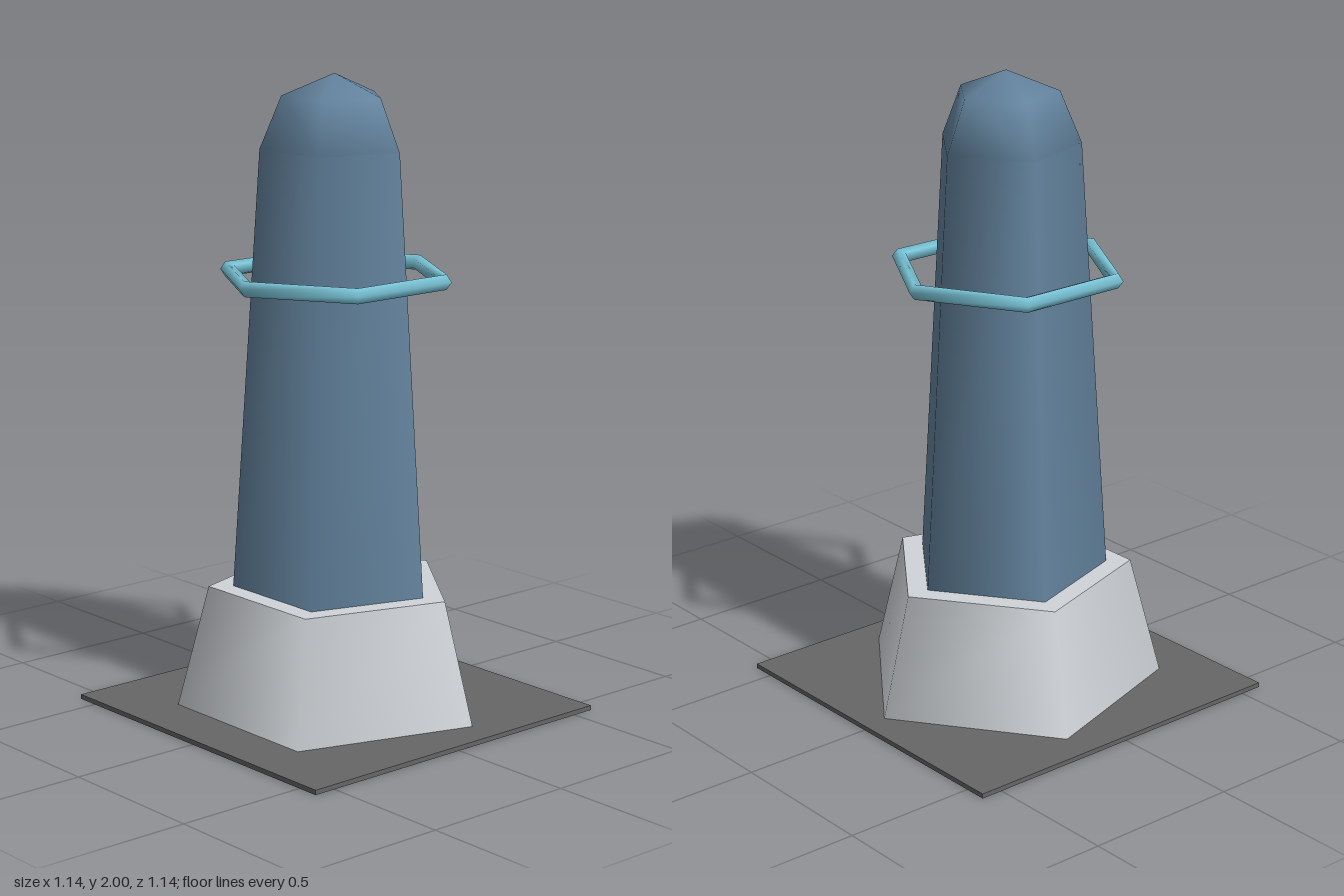
import * as THREE from 'three';

const material = (name, color) => {
  const m = new THREE.MeshStandardMaterial({ color });
  m.name = name;
  return m;
};

export function createModel() {
  const group = new THREE.Group();
  const slate = material('slate blue', 0x64849f);
  const stone = material('light stone', 0xd0d4d8);
  const dark = material('dark grey', 0x666666);
  const cyan = material('pale cyan', 0x7cc8dc);

  const add = (name, geometry, mat, y) => {
    const mesh = new THREE.Mesh(geometry, mat);
    mesh.name = name;
    mesh.position.y = y;
    group.add(mesh);
    return mesh;
  };

  // Thin square ground plate
  add('groundPlate', new THREE.BoxGeometry(1.145, 0.015, 1.145), dark, 0.0075);

  // Tapered five-sided plinth, one corner toward +x
  add('plinth', new THREE.CylinderGeometry(0.395, 0.495, 0.385, 5), stone, 0.2075)
    .rotation.y = Math.PI / 2;

  // Tapered five-sided tower
  add('tower', new THREE.CylinderGeometry(0.228, 0.318, 1.372, 5), slate, 1.086)
    .rotation.y = Math.PI / 2;

  // Faceted dome closing the tower
  add('dome', new THREE.SphereGeometry(0.228, 5, 2, 0, Math.PI * 2, 0, Math.PI / 2), slate, 1.772)
    .rotation.y = Math.PI;

  // Floating six-sided ring
  add('ring', new THREE.TorusGeometry(0.35, 0.025, 5, 6), cyan, 1.38)
    .rotation.x = Math.PI / 2;

  return group;
}
